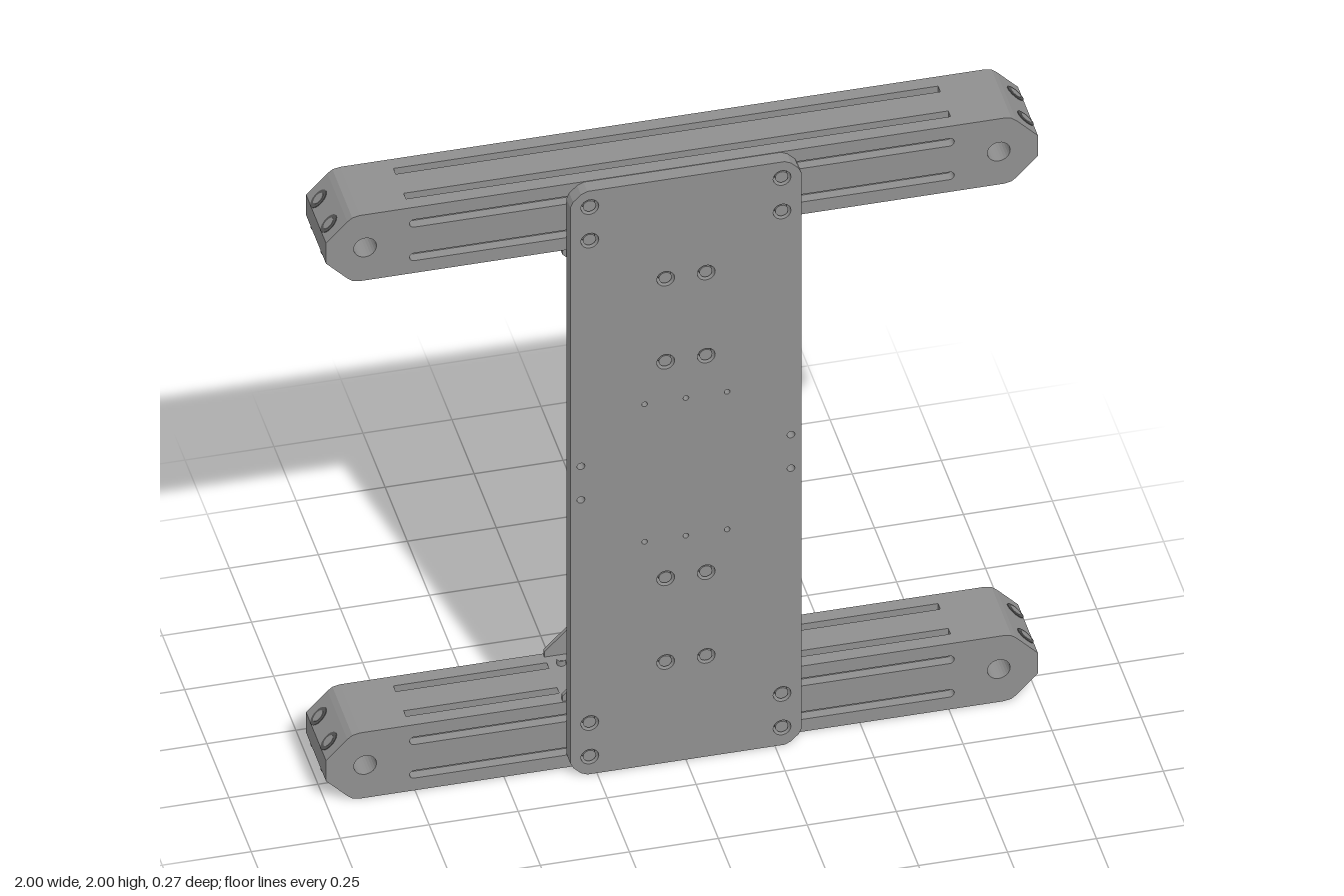
import * as THREE from 'three';

const H = 0.1125;       // half width of the square profiles
const CZ = -0.0225;     // depth centre of the profiles
const SLOT = 0.0575;    // slot distance from the profile centre
const W = 0.013;        // half width of a slot

const aluminium = new THREE.MeshStandardMaterial({ color: 0x8f8f8f });
aluminium.name = 'aluminiumGrey';
const dark = new THREE.MeshStandardMaterial({ color: 0x555555 });
dark.name = 'darkGrey';

function add(parent, name, geometry, material = aluminium) {
  const mesh = new THREE.Mesh(geometry, material);
  mesh.name = name;
  parent.add(mesh);
  return mesh;
}

function circle(x, y, r) {
  return new THREE.Path().absarc(x, y, r, 0, Math.PI * 2, true);
}

// Long hole with round ends, lying along x
function slotHole(half, y) {
  const p = new THREE.Path();
  p.absarc(half - W, y, W, -Math.PI / 2, Math.PI / 2, false);
  p.absarc(-half + W, y, W, Math.PI / 2, Math.PI * 1.5, false);
  p.closePath();
  return p;
}

function polygon(points, holes = []) {
  const s = new THREE.Shape(points.map(([x, y]) => new THREE.Vector2(x, y)));
  s.holes.push(...holes);
  return s;
}

function extrude(shape, z0, z1) {
  const g = new THREE.ExtrudeGeometry(shape, { depth: z1 - z0, bevelEnabled: false, curveSegments: 12 });
  return g.translate(0, 0, z0);
}

// Beam silhouette; notch cuts the top and bottom slots
function beamOutline(notch) {
  const end = [[1, 0.035], [0.94, 0.097], [0.926, 0.108], [0.905, H]];
  const cut = notch ? [[0.765, H], [0.765, H - notch]] : [];
  const q = [...end, ...cut];
  const flip = (sx, sy) => q.map(([x, y]) => [x * sx, y * sy]);
  return [...flip(1, 1), ...flip(-1, 1).reverse(), ...flip(-1, -1), ...flip(1, -1).reverse()];
}

// Horizontal beam stacked from slices so that slots open on all four long faces
function makeBeam() {
  const beam = new THREE.Group();
  beam.name = 'beam';
  const eyes = () => [circle(0.89, 0, 0.032), circle(-0.89, 0, 0.032)];
  const frontHoles = [...eyes(), slotHole(0.765, SLOT), slotHole(0.765, -SLOT)];
  const backHoles = [...eyes(), slotHole(0.67, SLOT), slotHole(0.67, -SLOT)];
  for (const x of [-0.73, 0.73]) for (const y of [-SLOT, SLOT]) backHoles.push(circle(x, y, 0.012));

  add(beam, 'beamFrontSkin', extrude(polygon(beamOutline(0), frontHoles), H - 0.03, H));
  add(beam, 'beamBackSkin', extrude(polygon(beamOutline(0), backHoles), -H, -H + 0.03));
  const cuts = [-H + 0.03, -SLOT - W, -SLOT + W, SLOT - W, SLOT + W, H - 0.03];
  for (let i = 0; i < 5; i++) {
    const shape = polygon(beamOutline(i % 2 ? 0.03 : 0), eyes());
    add(beam, 'beamCore', extrude(shape, cuts[i], cuts[i + 1]));
  }

  // Bolts set in the sloping end faces
  for (const sx of [-1, 1]) for (const sy of [-1, 1]) for (const z of [-SLOT, SLOT]) {
    const bolt = new THREE.Group();
    bolt.name = 'endBolt';
    const sink = add(bolt, 'endBoltHole', new THREE.CylinderGeometry(0.023, 0.023, 0.004, 24), dark);
    const head = add(bolt, 'endBoltHead', new THREE.CylinderGeometry(0.014, 0.014, 0.006, 24));
    sink.scale.x = head.scale.x = 1.35;
    bolt.position.set(sx * 0.9782, sy * SLOT, z);
    bolt.quaternion.setFromUnitVectors(new THREE.Vector3(0, 1, 0),
      new THREE.Vector3(sx * 0.062, sy * 0.06, 0).normalize());
    beam.add(bolt);
  }
  return beam;
}

// Upright profile with two slots on every side
function makeColumn(parent) {
  const d = H - 0.035;
  const side = [[-H, -H]];
  for (const c of [-SLOT, SLOT]) side.push([c - W, -H], [c - W, -d], [c + W, -d], [c + W, -H]);
  const points = [];
  for (let k = 0, pts = side; k < 4; k++, pts = pts.map(([x, y]) => [-y, x])) points.push(...pts);
  const g = extrude(polygon(points), 0.226, 1.774).rotateX(-Math.PI / 2).translate(0, 0, CZ);
  add(parent, 'column', g);
}

// Corner bracket: two drilled legs and two triangular cheeks
function makeBracket() {
  const b = new THREE.Group();
  b.name = 'cornerBracket';
  const size = 0.222, t = 0.018, hw = H - 0.004;
  const leg = () => {
    const holes = [];
    for (const x of [-SLOT, SLOT]) for (const y of [0.07, 0.184]) holes.push(circle(x, y, 0.013));
    return extrude(polygon([[-hw, 0], [hw, 0], [hw, size], [-hw, size]], holes), 0, t);
  };
  add(b, 'bracketUprightLeg', leg().rotateY(Math.PI / 2));
  add(b, 'bracketFlatLeg', leg().rotateY(Math.PI / 2).rotateZ(-Math.PI / 2).scale(1, -1, 1).rotateX(Math.PI)
    .translate(0, t, 0));
  const cheek = polygon([[0, 0], [size, 0], [size, t], [t, size], [0, size]]);
  add(b, 'bracketCheek', extrude(cheek, -hw, -hw + 0.012));
  add(b, 'bracketCheek', extrude(cheek, hw - 0.012, hw));
  return b;
}

// Face plate with bolts and small drilled holes
function makePlate(parent) {
  const x = 0.325, c = 0.048;
  const corner = [[x, 1 - c], [x - 0.008, 1 - c + 0.018], [x - c + 0.018, 0.992], [x - c, 1]];
  const q = (sx, sy) => corner.map(([a, b]) => [a * sx, 1 + b * sy]);
  const outline = [...q(1, 1), ...q(-1, 1).reverse(), ...q(-1, -1), ...q(1, -1).reverse()];
  const bolts = [], holes = [];
  for (const s of [-1, 1]) {
    for (const y of [0.06, 0.175, 1.83, 1.945]) bolts.push([s * 0.27, y]);
    for (const y of [0.345, 0.632, 1.375, 1.66]) bolts.push([s * 0.057, y]);
    for (const y of [0.945, 1.06]) holes.push(circle(s * 0.295, y, 0.011));
  }
  for (const px of [-0.116, 0, 0.116]) for (const y of [0.768, 1.24]) holes.push(circle(px, y, 0.008));
  for (const [bx, by] of bolts) {
    holes.push(circle(bx, by, 0.025));
    add(parent, 'plateBoltSeat', new THREE.CircleGeometry(0.025, 24).translate(bx, by, 0.1), dark);
    add(parent, 'plateBolt', new THREE.CylinderGeometry(0.018, 0.018, 0.035, 24)
      .rotateX(Math.PI / 2).translate(bx, by, 0.113));
  }
  add(parent, 'facePlate', extrude(polygon(outline, holes), 0.092, 0.135));
}

export function createModel() {
  const model = new THREE.Group();
  model.name = 'profileFrame';

  for (const [name, y] of [['lowerBeam', H], ['upperBeam', 2 - H]]) {
    const beam = makeBeam();
    beam.name = name;
    beam.position.set(0, y, CZ);
    model.add(beam);
  }
  makeColumn(model);
  makePlate(model);

  // Brackets in the four inner corners
  for (const sx of [-1, 1]) for (const sy of [-1, 1]) {
    const bracket = makeBracket();
    bracket.scale.set(sx, sy, 1);
    bracket.position.set(sx * H, 1 - sy * (1 - 2 * H), CZ);
    model.add(bracket);
  }
  return model;
}
